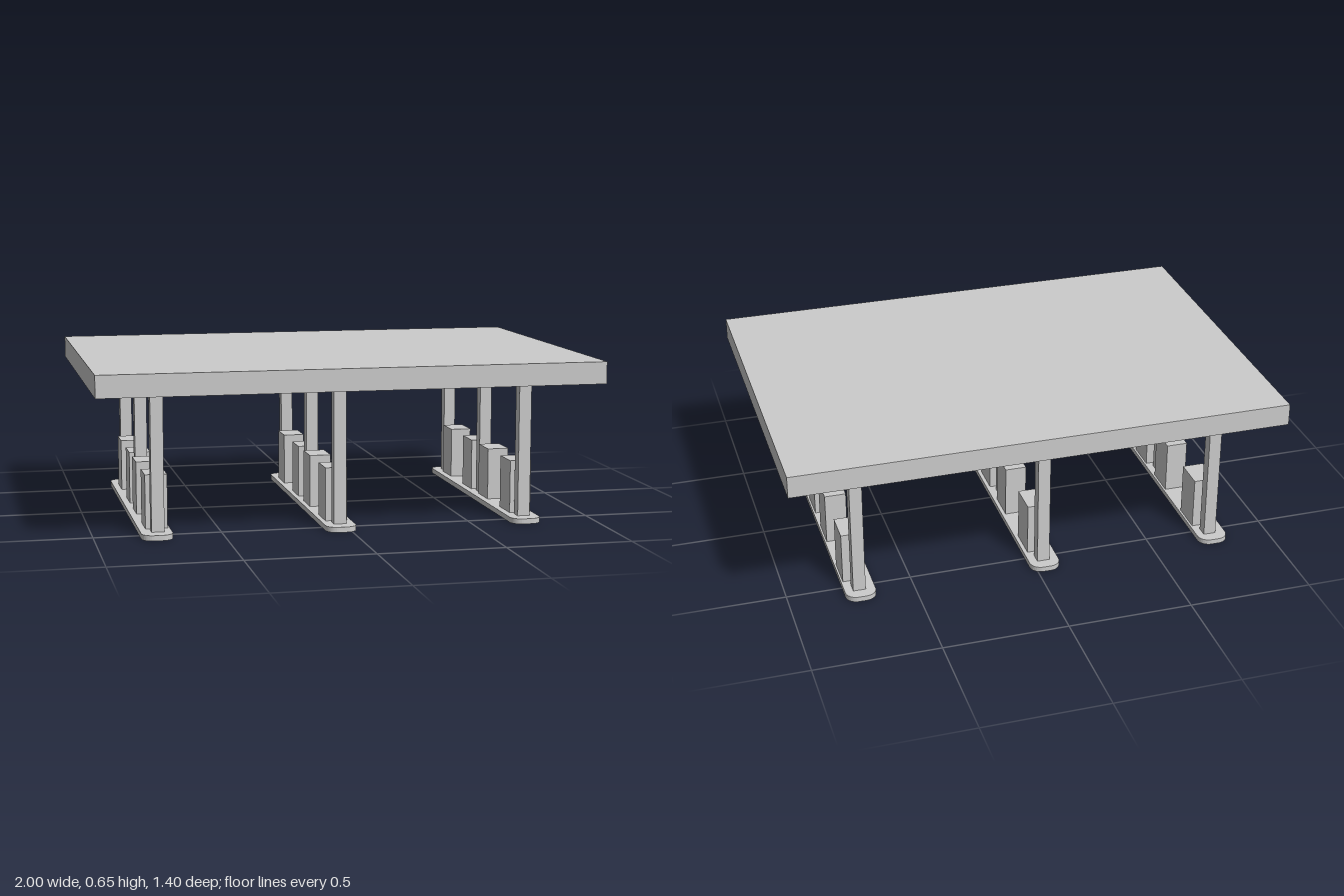
import * as THREE from 'three';

const material = new THREE.MeshStandardMaterial({ color: 0xcccccc, flatShading: true });

function box(name, w, h, d, x, y, z) {
  const mesh = new THREE.Mesh(new THREE.BoxGeometry(w, h, d), material);
  mesh.name = name;
  mesh.position.set(x, y + h / 2, z); // y is the underside
  return mesh;
}

// Flat plate with rounded corners, lying on y = 0
function roundedPlate(w, d, h, r) {
  const x = w / 2, y = d / 2;
  const s = new THREE.Shape();
  s.moveTo(-x + r, -y);
  s.lineTo(x - r, -y);
  s.absarc(x - r, -y + r, r, -Math.PI / 2, 0);
  s.absarc(x - r, y - r, r, 0, Math.PI / 2);
  s.absarc(-x + r, y - r, r, Math.PI / 2, Math.PI);
  s.absarc(-x + r, -y + r, r, Math.PI, Math.PI * 1.5);
  const geometry = new THREE.ExtrudeGeometry(s, { depth: h, bevelEnabled: false, curveSegments: 4 });
  return geometry.rotateX(-Math.PI / 2);
}

export function createModel() {
  const model = new THREE.Group();
  const plateTop = 0.021, roofBottom = 0.566, roofTop = 0.654;

  // Flat canopy slab
  model.add(box('canopy', 2, roofTop - roofBottom, 1.4, 0, roofBottom, 0));

  // Three islands, each with a base, three columns and four dispensers
  const plate = roundedPlate(0.122, 1.22, plateTop, 0.045);
  for (const [baseX, columnX, blockX] of [
    [-0.76, -0.754, -0.751],
    [-0.038, -0.036, -0.036],
    [0.717, 0.72, 0.727],
  ]) {
    const island = new THREE.Group();
    island.name = 'island';

    const base = new THREE.Mesh(plate, material);
    base.name = 'islandBase';
    base.position.set(baseX, 0, -0.002);
    island.add(base);

    for (const z of [0.522, 0.002, -0.541]) {
      island.add(box('column', 0.05, roofBottom - plateTop, 0.046, columnX, plateTop, z));
    }
    for (const z of [0.412, 0.117, -0.116, -0.424]) {
      island.add(box('dispenser', 0.087, 0.213, 0.13, blockX, plateTop, z));
    }
    model.add(island);
  }
  return model;
}
